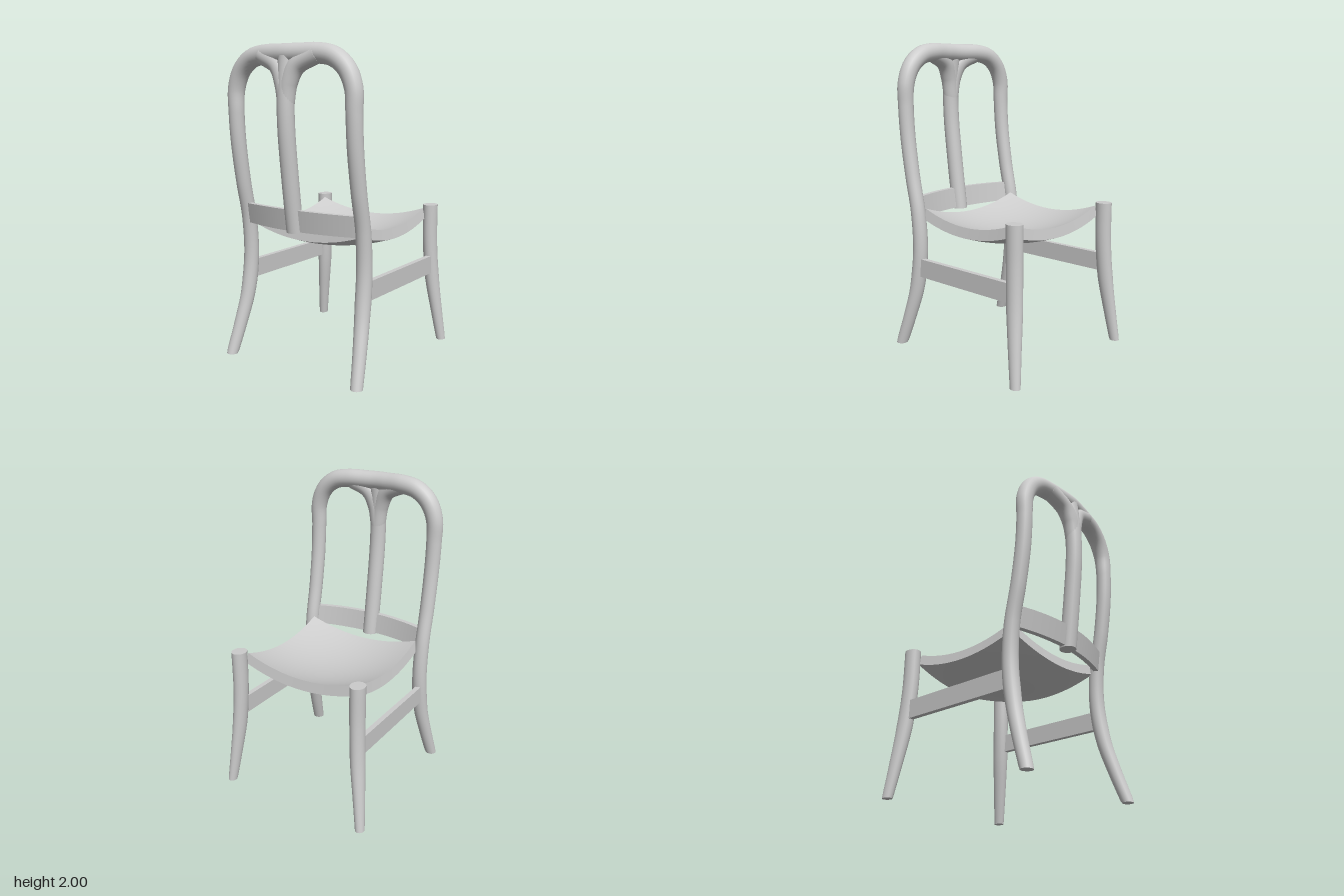
import * as THREE from 'three';
import { mergeGeometries } from 'three/addons/utils/BufferGeometryUtils.js';

const material = new THREE.MeshStandardMaterial({ color: 0xcccccc });
const V = (p) => new THREE.Vector3(...p);

// Piecewise-linear lookup in [[key, value], ...]
function lerpTable(table, k) {
  for (let i = 1; i < table.length; i++) {
    const [a, va] = table[i - 1], [b, vb] = table[i];
    if (k <= b) return va + (vb - va) * Math.max(0, (k - a) / (b - a));
  }
  return table[table.length - 1][1];
}

// Capped round rod along a smooth path; radius depends on height, ends may be cut level
function rod(points, radii, segments, levelEnds = true) {
  const sides = 24, row = sides + 1;
  const path = new THREE.CatmullRomCurve3(points.map(V), false, 'centripetal');
  const tube = new THREE.TubeGeometry(path, segments, 1, sides, false);
  const pos = tube.attributes.position, v = new THREE.Vector3();
  for (let i = 0; i <= segments; i++) {
    const c = path.getPointAt(i / segments), r = lerpTable(radii, c.y);
    for (let j = 0; j < row; j++) {
      v.fromBufferAttribute(pos, i * row + j).sub(c).multiplyScalar(r).add(c);
      if (levelEnds && (i === 0 || i === segments)) v.y = c.y;
      pos.setXYZ(i * row + j, v.x, v.y, v.z);
    }
  }
  const caps = [0, segments].map((ring) => {
    const c = path.getPointAt(ring / segments), tri = [];
    for (let j = 0; j < sides; j++) {
      const a = v.fromBufferAttribute(pos, ring * row + j).toArray();
      const b = v.fromBufferAttribute(pos, ring * row + j + 1).toArray();
      tri.push(...c.toArray(), ...(ring ? [...b, ...a] : [...a, ...b]));
    }
    const g = new THREE.BufferGeometry();
    g.setAttribute('position', new THREE.Float32BufferAttribute(tri, 3));
    g.computeVertexNormals();
    return g;
  });
  const side = tube.toNonIndexed();
  side.deleteAttribute('uv');
  return mergeGeometries([side, ...caps]);
}

// Box subdivided and bent by a rule, faces kept separate for crisp edges
function bentBox(w, h, d, nx, nz, bend) {
  const g = new THREE.BoxGeometry(w, h, d, nx, 1, nz);
  const pos = g.attributes.position;
  for (let i = 0; i < pos.count; i++) {
    pos.setXYZ(i, ...bend(pos.getX(i), pos.getY(i), pos.getZ(i)));
  }
  g.computeVertexNormals();
  return g;
}

export function createModel() {
  const chair = new THREE.Group();
  chair.name = 'chair';
  const add = (name, geometry) => {
    const mesh = new THREE.Mesh(geometry, material);
    mesh.name = name;
    chair.add(mesh);
    return mesh;
  };

  // Back legs, uprights and crest rail as one continuous bent rod
  const half = [
    [-0.505, 0, 0.497], [-0.44, 0.2, 0.475], [-0.385, 0.4, 0.455], [-0.353, 0.65, 0.447],
    [-0.366, 0.9, 0.447], [-0.415, 1.15, 0.447], [-0.452, 1.4, 0.447], [-0.465, 1.6, 0.447],
    [-0.464, 1.74, 0.442], [-0.464, 1.85, 0.395], [-0.467, 1.918, 0.31], [-0.474, 1.94, 0.2],
    [-0.488, 1.94, 0.09],
  ];
  const mirrored = half.map(([x, y, z]) => [x, y, -z]).reverse();
  add('backFrame', rod([...half, [-0.495, 1.94, 0], ...mirrored],
    [[0, 0.038], [0.5, 0.05], [1.0, 0.047], [1.6, 0.05], [1.94, 0.06]], 160));

  // Centre splat, flaring into the crest rail on both sides
  add('backSplat', rod([[-0.445, 0.87, 0], [-0.487, 1.2, 0], [-0.518, 1.5, 0], [-0.521, 1.7, 0], [-0.503, 1.93, 0]],
    [[0.87, 0.053], [1.93, 0.053]], 40));
  for (const s of [1, -1]) {
    add('splatFlare', rod([[-0.519, 1.64, 0], [-0.516, 1.77, s * 0.02], [-0.503, 1.87, s * 0.07], [-0.482, 1.935, s * 0.2]],
      [[1.64, 0.05], [1.77, 0.054], [1.94, 0.057]], 24, false));
  }

  for (const s of [1, -1]) {
    // Front legs: oval section, splayed outward and tapered to the foot
    const oval = 0.87;
    const leg = [[0.54, 0, 0.512], [0.515, 0.2, 0.488], [0.488, 0.45, 0.46], [0.474, 0.7, 0.446], [0.472, 0.96, 0.444]];
    const g = rod(leg.map(([x, y, z]) => [x, y, s * z / oval]), [[0, 0.034], [0.45, 0.053], [0.96, 0.055]], 36);
    add('frontLeg', g.scale(1, 1, oval));

    // Side stretchers
    add('sideStretcher', new THREE.BoxGeometry(0.8, 0.12, 0.034)).position.set(0.06, 0.55, s * 0.46);
  }

  // Dished seat, its underside slightly wider than its top
  add('seat', bentBox(2, 0.065, 2, 24, 24, (u, y, w) => {
    const spread = y < 0 ? 1.035 : 1;
    return [
      0.045 + u * spread * (0.378 + 0.007 * (1 - w * w)),
      0.757 + y + 0.072 * u * u + 0.075 * w * w,
      w * spread * 0.411,
    ];
  }));

  // Lower back rail, bowed backward and leaning with the frame
  add('lowerBackRail', bentBox(0.034, 0.13, 0.86, 1, 32, (x, y, z) => {
    const bow = 1 - (z / 0.43) ** 2;
    return [x - 0.385 - 0.07 * bow - 0.15 * y, 0.942 + y + (y > 0 ? 0.006 * bow : 0), z];
  }));

  return chair;
}
